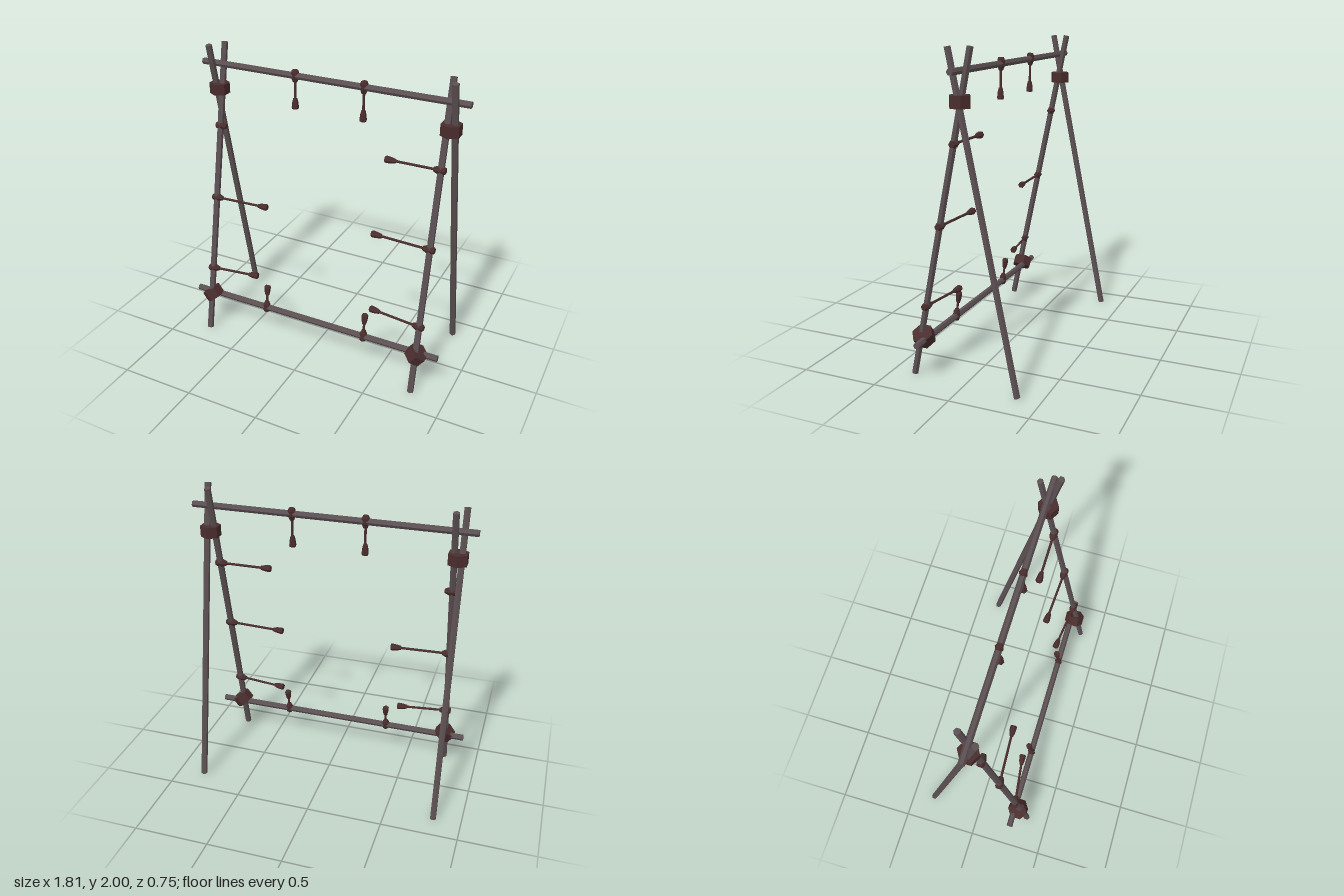
import * as THREE from 'three';

const pole = new THREE.MeshStandardMaterial({ color: 0x5c5053, flatShading: true });
pole.name = 'weathered wood';
const hide = new THREE.MeshStandardMaterial({ color: 0x4a2d2d, flatShading: true });
hide.name = 'dark leather';

const UP = new THREE.Vector3(0, 1, 0);
const v = (x, y, z) => new THREE.Vector3(x, y, z);

function add(parent, geometry, material, name) {
  const mesh = new THREE.Mesh(geometry, material);
  mesh.name = name;
  parent.add(mesh);
  return mesh;
}

// Six-sided rod between two points
function rod(parent, a, b, radius, material, name) {
  const dir = b.clone().sub(a);
  const mesh = add(parent, new THREE.CylinderGeometry(radius, radius, dir.length(), 6), material, name);
  mesh.position.copy(a).add(b).multiplyScalar(0.5);
  mesh.quaternion.setFromUnitVectors(UP, dir.normalize());
  return mesh;
}

const lathe = (pts) => new THREE.LatheGeometry(pts.map(([r, y]) => new THREE.Vector2(r, y)), 6);
const knotShape = lathe([[0, -0.036], [0.019, -0.036], [0.025, -0.02], [0.025, 0.015], [0.014, 0.042], [0, 0.042]]);
const tasselShape = lathe([[0, -0.07], [0.013, -0.07], [0.019, -0.045], [0.023, -0.01], [0.02, 0], [0, 0]]);

// Knot around a pole, with an optional thong ending in a tassel
function strap(parent, start, end, hasThong = true) {
  const group = new THREE.Group();
  group.name = 'strap';
  const dir = end.clone().sub(start).normalize();
  const knot = add(group, knotShape, hide, 'knot');
  knot.position.copy(start);
  knot.quaternion.setFromUnitVectors(UP, dir);
  if (hasThong) {
    rod(group, start, end.clone().addScaledVector(dir, -0.03), 0.008, hide, 'thong');
    const tassel = add(group, tasselShape, hide, 'tassel');
    tassel.position.copy(end);
    tassel.quaternion.copy(knot.quaternion);
  }
  parent.add(group);
}

export function createModel() {
  const model = new THREE.Group();
  model.name = 'stretching frame';

  // Crossed legs and their lashings on both sides
  for (const s of [-1, 1]) {
    rod(model, v(s * 0.77, 0.005, 0.352), v(s * 0.77, 1.995, -0.057), 0.021, pole, 'frontLeg');
    rod(model, v(s * 0.818, 0.005, -0.352), v(s * 0.818, 1.995, 0.057), 0.021, pole, 'backLeg');

    const top = add(model, new THREE.CylinderGeometry(0.066, 0.066, 0.072, 6), hide, 'topLashing');
    top.position.set(s * 0.795, 1.698, -0.002);
    const low = add(model, new THREE.CylinderGeometry(0.068, 0.068, 0.072, 6), hide, 'lowerLashing');
    low.position.set(s * 0.77, 0.258, 0.282);
    low.rotation.z = -s * 0.65;
  }

  // Cross bars
  rod(model, v(-0.905, 1.865, 0), v(0.905, 1.865, 0), 0.021, pole, 'topBar');
  rod(model, v(-0.905, 0.252, 0.258), v(0.905, 0.252, 0.258), 0.021, pole, 'lowerBar');

  // Straps on the bars
  for (const x of [-0.227, 0.241]) strap(model, v(x, 1.867, 0), v(x, 1.65, 0.005));
  for (const x of [-0.345, 0.389]) strap(model, v(x, 0.258, 0.258), v(x, 0.413, 0.236));

  // Straps on the front legs: knot x, height, end x, end z, thong
  const legStraps = [
    [-0.765, 1.455, -0.42, 0.054, false],
    [-0.765, 0.965, -0.385, 0.133, true],
    [-0.765, 0.456, -0.432, 0.215, true],
    [0.765, 1.455, 0.415, 0.054, true],
    [0.765, 0.965, 0.375, 0.133, true],
    [0.765, 0.456, 0.415, 0.215, true],
  ];
  for (const [x, y, endX, endZ, thong] of legStraps) {
    strap(model, v(x, y, 0.352 - 0.205 * y), v(endX, y, endZ), thong);
  }
  return model;
}
